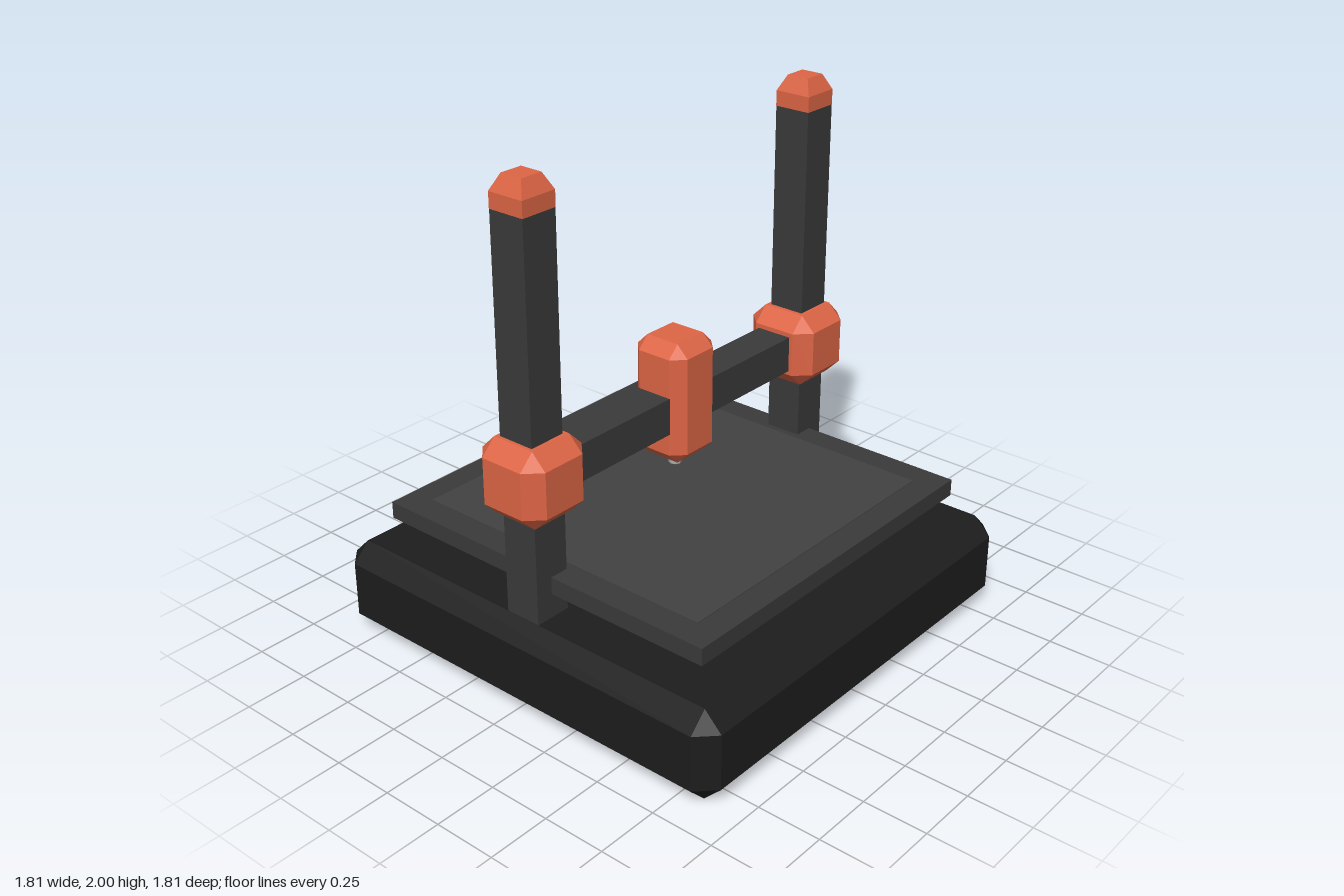
import * as THREE from 'three';
import { ConvexGeometry } from 'three/addons/geometries/ConvexGeometry.js';

const paint = (color) => new THREE.MeshStandardMaterial({ color, flatShading: true });

// Box with every edge cut flat by c, centred on its origin
function chamferBox(w, h, d, c) {
  const points = [];
  for (const sx of [-1, 1]) for (const sy of [-1, 1]) for (const sz of [-1, 1]) {
    const x = w / 2, y = h / 2, z = d / 2;
    points.push(
      new THREE.Vector3(sx * x, sy * (y - c), sz * (z - c)),
      new THREE.Vector3(sx * (x - c), sy * y, sz * (z - c)),
      new THREE.Vector3(sx * (x - c), sy * (y - c), sz * z));
  }
  return new ConvexGeometry(points);
}

// Square block whose upper part tapers inward, standing on its origin
function capGeometry(half, topHalf, shoulder, height) {
  const points = [];
  for (const [r, y] of [[half, 0], [half, shoulder], [topHalf, height]])
    for (const sx of [-1, 1]) for (const sz of [-1, 1])
      points.push(new THREE.Vector3(sx * r, y, sz * r));
  return new ConvexGeometry(points);
}

export function createModel() {
  const model = new THREE.Group();
  model.name = 'desktopPrinter';

  const black = paint(0x1d1d1d);
  const frame = paint(0x3a3a3a);
  const panel = paint(0x424242);
  const orange = paint(0xdd6545);
  const metal = paint(0xaaaaaa);

  const add = (name, geometry, material, x, y, z = 0) => {
    const mesh = new THREE.Mesh(geometry, material);
    mesh.name = name;
    mesh.position.set(x, y, z);
    model.add(mesh);
    return mesh;
  };
  // Plain box given by its bottom and top heights
  const addBox = (name, w, y0, y1, d, material, x = 0) =>
    add(name, new THREE.BoxGeometry(w, y1 - y0, d), material, x, (y0 + y1) / 2);

  // Base and print bed
  add('base', chamferBox(1.81, 0.365, 1.81, 0.072), black, 0, 0.1825);
  addBox('bedRiser', 1.305, 0.36, 0.46, 1.305, black);
  addBox('bedPlate', 1.52, 0.46, 0.528, 1.52, frame);
  addBox('bedSurface', 1.305, 0.5, 0.531, 1.305, panel);

  // Two uprights with their caps and sliding brackets
  for (const [side, s] of [['left', 1], ['right', -1]]) {
    addBox(`${side}Post`, 0.15, 0.36, 1.88, 0.15, frame, s * 0.757);
    add(`${side}Cap`, capGeometry(0.0755, 0.046, 0.06, 0.12), orange, s * 0.757, 1.88);
    add(`${side}Bracket`, chamferBox(0.3, 0.3, 0.3, 0.06), orange, s * 0.755, 0.914);
  }

  // Crossbar, print head and nozzle
  addBox('crossbar', 1.5, 0.84, 0.986, 0.15, frame);
  add('printHead', chamferBox(0.24, 0.484, 0.24, 0.048), orange, 0, 0.946);
  add('nozzle', new THREE.CylinderGeometry(0.025, 0.025, 0.06, 8), metal, 0, 0.686);

  return model;
}
